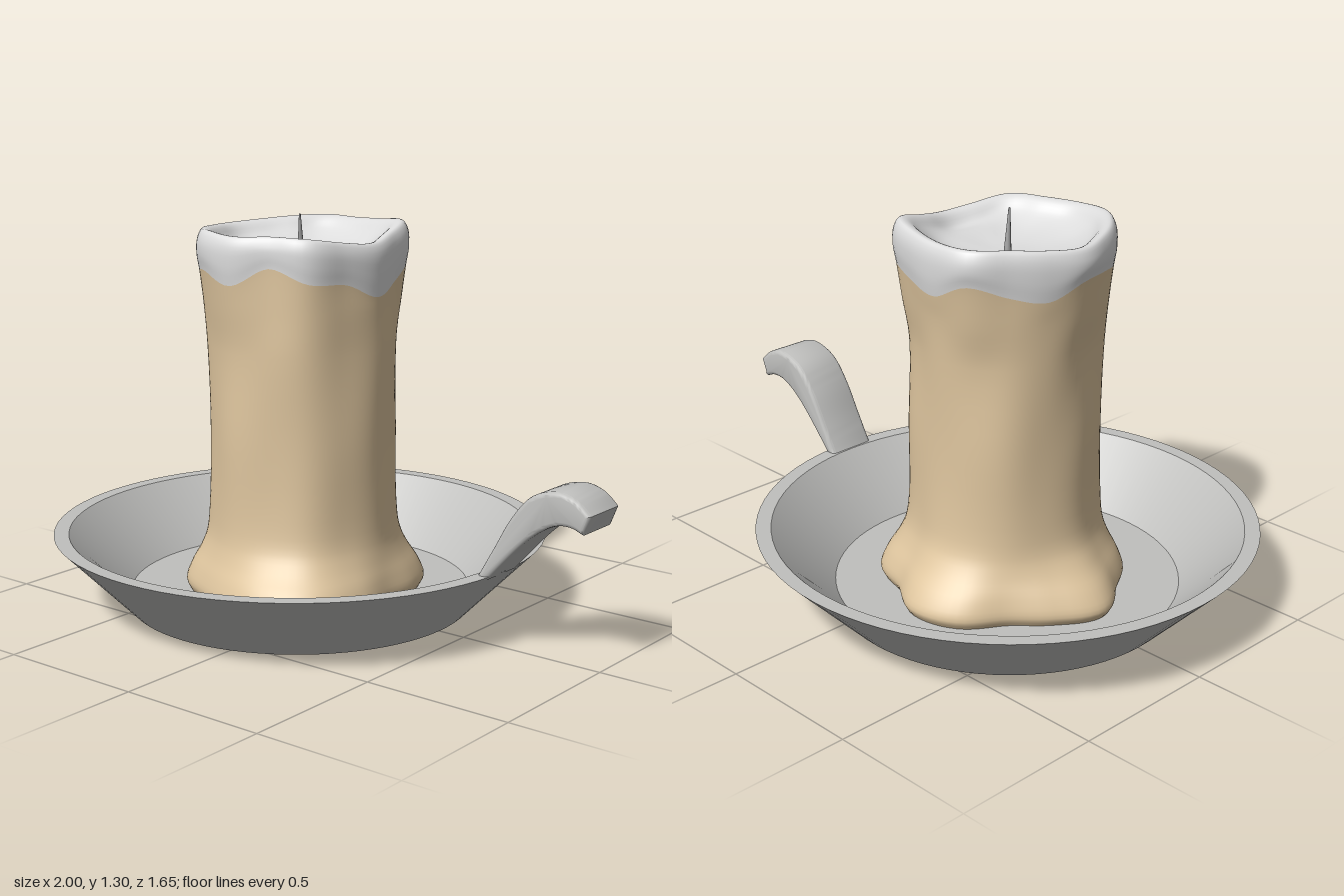
import * as THREE from 'three';
import { toCreasedNormals } from 'three/addons/utils/BufferGeometryUtils.js';

const CX = -0.175; // shared axis of dish and candle

const material = (name, color) => {
  const m = new THREE.MeshStandardMaterial({ color });
  m.name = name;
  return m;
};

// Smooth periodic sampling of values spaced evenly around the circle
function around(values, t) {
  const n = values.length, f = t * n, i = Math.floor(f), u = f - i;
  const [a, b, c, d] = [-1, 0, 1, 2].map(k => values[(i + k + n) % n]);
  return b + 0.5 * u * (c - a + u * (2 * a - 5 * b + 4 * c - d + u * (3 * (b - c) + d - a)));
}

// Radii and heights every 22.5 degrees, from +x towards +z
const FOOT = [.375, .42, .475, .455, .40, .375, .385, .385, .44, .395, .37, .425, .435, .385, .42, .40];
const BODY = [.325, .322, .335, .322, .32, .305, .3, .283, .28, .283, .295, .295, .295, .298, .318, .318];
const LIP = [.325, .323, .35, .32, .343, .347, .33, .32, .33, .31, .31, .345, .33, .335, .36, .325];
const DRIP_Y = [1.06, 1.11, 1.12, 1.165, 1.105, 1.14, 1.13, 1.145, 1.15, 1.1, 1.12, 1.155, 1.1, 1.12, 1.14, 1.095];
const LIP_Y = [1.23, 1.24, 1.258, 1.262, 1.258, 1.265, 1.262, 1.255, 1.25, 1.255, 1.262, 1.265, 1.262, 1.268, 1.277, 1.25];

// Profile of the candle at one angle, as [radius, height]
function candleProfile(t) {
  const foot = around(FOOT, t), body = around(BODY, t), lip = around(LIP, t);
  const drip = around(DRIP_Y, t), top = around(LIP_Y, t);
  const mix = THREE.MathUtils.lerp;
  const wobble = 0.004 * Math.sin(t * Math.PI * 10);
  return [
    [foot * 0.96, 0.04],
    [foot, 0.075],
    [mix(foot, body, 0.2), 0.13],
    [mix(foot, body, 0.58), 0.19],
    [mix(foot, body, 0.84), 0.25],
    [mix(foot, body, 0.96), 0.35],
    [body + wobble, 0.6],
    [body - wobble, 0.88],
    [mix(body, lip, 0.45), 1.02],
    [mix(body, lip, 0.85), drip],
    [lip + 0.003, mix(drip, top, 0.4)],
    [lip, top - 0.03],
    [lip * 0.95, top],
    [lip * 0.87, top - 0.005],
    [lip * 0.76, top - 0.04],
    [lip * 0.58, 1.19],
    [lip * 0.3, 1.17],
    [0, 1.165],
  ];
}
const DRIP_ROW = 9; // profile point where the pale wax begins

function candleGeometry(cols = 96, sub = 4) {
  const positions = [], index = [];
  let rows = 0;
  for (let j = 0; j < cols; j++) {
    const angle = j / cols * Math.PI * 2;
    const points = candleProfile(j / cols).map(([r, y]) => new THREE.Vector3(r, y, 0));
    const curve = new THREE.CatmullRomCurve3(points);
    rows = (points.length - 1) * sub;
    for (let i = 0; i <= rows; i++) {
      const p = curve.getPoint(i / rows);
      positions.push(p.x * Math.cos(angle), p.y, p.x * Math.sin(angle));
    }
  }
  const at = (i, j) => (j % cols) * (rows + 1) + i;
  for (let i = 0; i < rows; i++) {
    for (let j = 0; j < cols; j++) {
      index.push(at(i, j), at(i + 1, j), at(i, j + 1));
      index.push(at(i + 1, j), at(i + 1, j + 1), at(i, j + 1));
    }
  }
  const geometry = new THREE.BufferGeometry();
  geometry.setAttribute('position', new THREE.Float32BufferAttribute(positions, 3));
  geometry.setIndex(index);
  geometry.computeVertexNormals();
  const split = DRIP_ROW * sub * cols * 6;
  geometry.addGroup(0, split, 0);
  geometry.addGroup(split, index.length - split, 1);
  return geometry;
}

// Curved thumb grip, extruded across z with softened edges
function handleGeometry() {
  const upper = [[.6, .24], [.66, .345], [.72, .45], [.79, .53], [.88, .56], [.95, .545], [1, .505]];
  const lower = [[.975, .443], [.93, .458], [.875, .452], [.81, .415], [.74, .35], [.64, .24]];
  const v = list => list.map(([x, y]) => new THREE.Vector2(x, y));
  const shape = new THREE.Shape();
  shape.moveTo(...upper[0]);
  shape.splineThru(v(upper.slice(1)));
  shape.lineTo(...lower[0]);
  shape.splineThru(v(lower.slice(1)));
  const bevel = 0.014, width = 0.174;
  const geometry = new THREE.ExtrudeGeometry(shape, {
    depth: width - 2 * bevel, curveSegments: 5,
    bevelThickness: bevel, bevelSize: bevel, bevelOffset: -bevel, bevelSegments: 3,
  });
  geometry.translate(0, 0, bevel - width / 2);
  return toCreasedNormals(geometry, 0.7);
}

export function createModel() {
  const metal = material('grey metal', 0xc0c0be);
  const wax = material('tan wax', 0xdfc69f);
  const paleWax = material('pale melted wax', 0xdcdcdc);
  const wickGrey = material('wick grey', 0xa0a0a0);

  const group = new THREE.Group();
  group.name = 'candleHolder';
  const add = (name, geometry, mat, x = 0, y = 0, z = 0) => {
    const mesh = new THREE.Mesh(geometry, mat);
    mesh.name = name;
    mesh.position.set(x, y, z);
    group.add(mesh);
    return mesh;
  };

  // Dish with sloping walls and a flat rim
  const profile = [[0, 0], [.58, 0], [.825, .25], [.775, .25], [.57, .045], [0, .045]];
  const dish = new THREE.LatheGeometry(profile.map(([x, y]) => new THREE.Vector2(x, y)), 80);
  add('dish', toCreasedNormals(dish, 0.5), metal, CX);

  add('handle', handleGeometry(), metal);
  add('candle', candleGeometry(), [wax, paleWax], CX);

  // Tapered wick, leaning slightly forward
  const wick = add('wick', new THREE.CylinderGeometry(0.003, 0.013, 0.15, 10), wickGrey, CX + 0.008, 1.23, 0.002);
  wick.rotation.set(0.11, 0, -0.06);

  return group;
}
